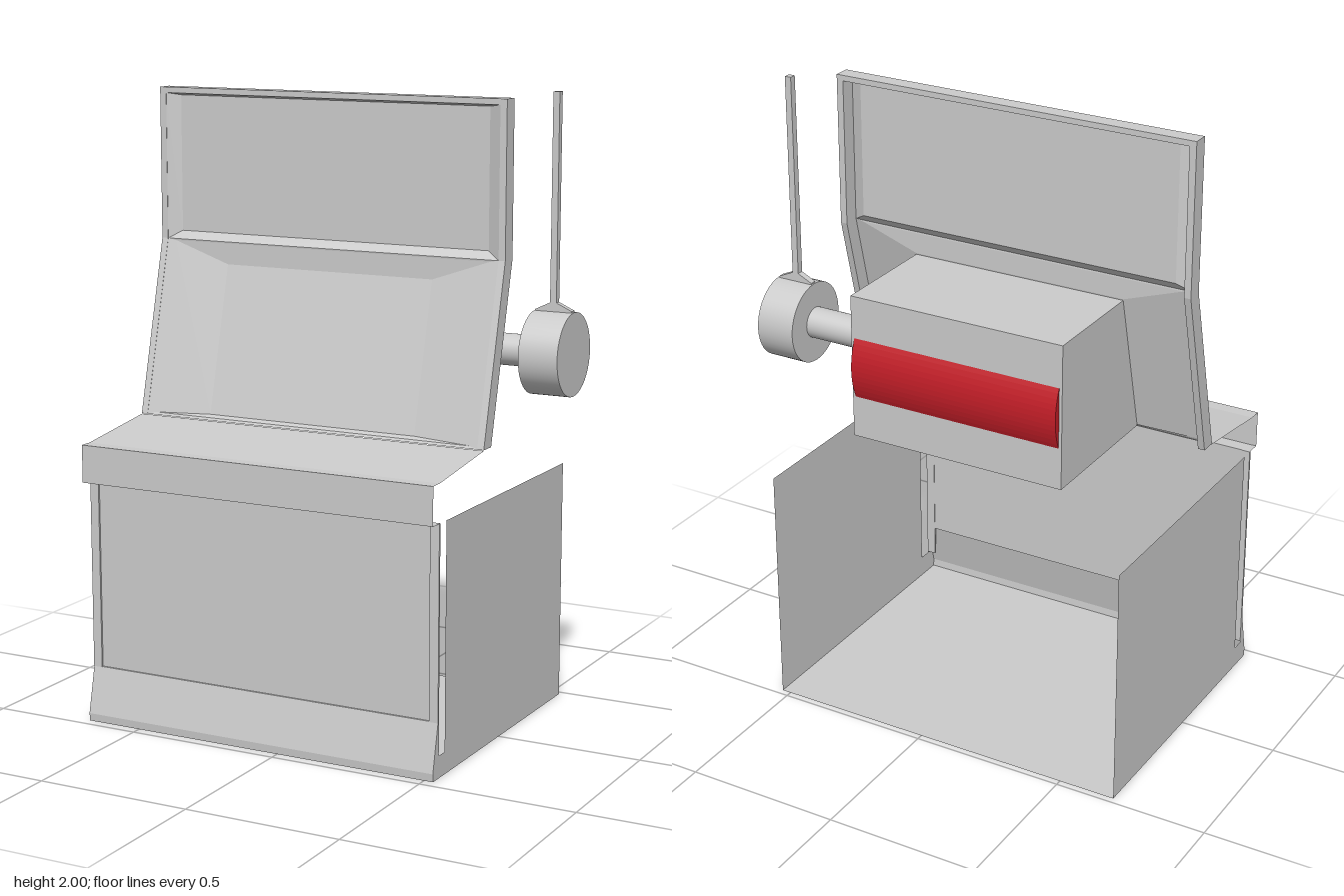
import * as THREE from 'three';

const X0 = -0.685, X1 = 0.53, MID = (X0 + X1) / 2, W = X1 - X0;
const BOX_L = -0.44, BOX_R = 0.285;
const grey = new THREE.MeshStandardMaterial({ color: 0xcccccc, side: THREE.DoubleSide, flatShading: true });
const smooth = new THREE.MeshStandardMaterial({ color: 0xcccccc });
const red = new THREE.MeshStandardMaterial({ color: 0xc41e28 });

// front surface of the bent upper panel
const frontZ = (y) => -0.005 + Math.max(0, 1.5 - y) * 0.252;

function quads(list) {
  const pos = [];
  for (const [a, b, c, d] of list) pos.push(...a, ...b, ...c, ...a, ...c, ...d);
  const g = new THREE.BufferGeometry();
  g.setAttribute('position', new THREE.Float32BufferAttribute(pos, 3));
  g.computeVertexNormals();
  return g;
}

// open sheet: a [z, y] profile swept across the cabinet width
function sheet(profile) {
  const list = [];
  for (let i = 0; i < profile.length - 1; i++) {
    const [z0, y0] = profile[i], [z1, y1] = profile[i + 1];
    list.push([[X0, y0, z0], [X1, y0, z0], [X1, y1, z1], [X0, y1, z1]]);
  }
  return quads(list);
}

// nested rectangles [x0, x1, y0, y1, depth] joined into a dished panel
function tray(loops, zAt) {
  const rings = loops.map(([x0, x1, y0, y1, d]) =>
    [[x0, y0], [x1, y0], [x1, y1], [x0, y1]].map(([x, y]) => [x, y, zAt(y) - d]));
  const list = [];
  for (let i = 0; i < rings.length - 1; i++)
    for (let k = 0; k < 4; k++) {
      const n = (k + 1) % 4;
      list.push([rings[i][k], rings[i][n], rings[i + 1][n], rings[i + 1][k]]);
    }
  list.push(rings[rings.length - 1]);
  return quads(list);
}

const outline = (pts) => new THREE.Shape(pts.map(([z, y]) => new THREE.Vector2(-z, y)));

// solid: a [z, y] outline extruded from x0 to x1
function solid(pts, x0, x1) {
  const g = new THREE.ExtrudeGeometry(outline(pts), { depth: x1 - x0, bevelEnabled: false });
  return g.rotateY(Math.PI / 2).translate(x0, 0, 0);
}

export function createModel() {
  const model = new THREE.Group();
  const add = (name, geo, mat = grey) => {
    const m = new THREE.Mesh(geo, mat);
    m.name = name;
    model.add(m);
    return m;
  };

  // lower cabinet: floor, two notched sides, kick plate
  add('floor', sheet([[-0.48, 0.005], [0.468, 0.005]]));
  const side = [[-0.48, 0.005], [0.468, 0.005], [0.47, 0.03], [0.437, 0.18], [0.43, 0.075],
    [0.39, 0.075], [0.39, 0.785], [-0.48, 0.785]];
  for (const [name, x] of [['leftSide', X1], ['rightSide', X0]])
    add(name, new THREE.ShapeGeometry(outline(side)).rotateY(Math.PI / 2).translate(x, 0, 0));
  add('kickPlate', sheet([[0.468, 0.005], [0.47, 0.03], [0.437, 0.18]]));

  // recessed front panel between two narrow stiles
  add('frontPanel', tray([
    [X0, X1, 0.18, 0.785, 0], [X0 + 0.03, X1 - 0.03, 0.18, 0.785, 0],
    [X0 + 0.03, X1 - 0.03, 0.18, 0.785, 0.006]], () => 0.438));
  for (const x of [X0 + 0.015, X1 - 0.015])
    add('frontStile', new THREE.BoxGeometry(0.03, 0.705, 0.007).translate(x, 0.4325, 0.434));

  // folded lip and sloping shelf
  add('shelf', sheet([[0.437, 0.785], [0.48, 0.785], [0.48, 0.905], [0.437, 0.905], [0.133, 0.943]]));

  // bent upper panel: rim plus two dished faces
  const T = 0.053, top = 1.985, low = 0.945;
  const rim = [[frontZ(low), low], [frontZ(1.5), 1.5], [frontZ(top), top],
    [frontZ(top) - T, top], [frontZ(1.5) - T, 1.5], [frontZ(low) - T, low]];
  add('rimRight', solid(rim, X0, X0 + 0.022));
  add('rimLeft', solid(rim, X1 - 0.022, X1));
  add('rimTop', new THREE.BoxGeometry(W - 0.044, 0.018, T).translate(MID, top - 0.009, -0.005 - T / 2));
  add('upperFace', tray([
    [X0 + 0.022, X1 - 0.022, 1.5, top - 0.018, 0.001],
    [X0 + 0.065, X1 - 0.065, 1.525, top - 0.025, 0.022]], frontZ));
  add('lowerFace', tray([
    [X0 + 0.022, X1 - 0.022, low, 1.5, 0.001],
    [X0 + 0.05, X1 - 0.05, low + 0.008, 1.495, 0.003],
    [BOX_L, BOX_R, 0.96, 1.428, 0.02]], frontZ));

  // rear housing with curved red strip
  add('housing', solid([[-0.385, 0.958], [frontZ(0.958) - 0.022, 0.958],
    [frontZ(1.425) - 0.022, 1.425], [-0.385, 1.425]], BOX_L, BOX_R));
  const arc = [];
  for (let i = 0; i <= 12; i++) {
    const t = i / 6 - 1;
    arc.push([-0.384 - 0.023 * (1 - t * t), 1.19 + 0.1 * t]);
  }
  add('redStrip', solid(arc, BOX_L + 0.01, BOX_R - 0.01), red);

  // side lever: shaft, drum and tapered handle
  const across = (r, x0, x1) => new THREE.CylinderGeometry(r, r, x1 - x0, 40)
    .rotateZ(Math.PI / 2).translate((x0 + x1) / 2, 1.2, -0.18);
  add('leverShaft', across(0.05, BOX_R, 0.56), smooth);
  add('leverDrum', across(0.131, 0.556, 0.685), smooth);
  const handle = new THREE.Shape([[0.56, 1.325], [0.68, 1.325], [0.68, 1.335], [0.629, 1.358], [0.629, 2],
    [0.608, 2], [0.608, 1.358], [0.56, 1.335]].map(([x, y]) => new THREE.Vector2(x, y)));
  add('leverHandle', new THREE.ExtrudeGeometry(handle, { depth: 0.022, bevelEnabled: false })
    .translate(0, 0, -0.191));

  return model;
}
